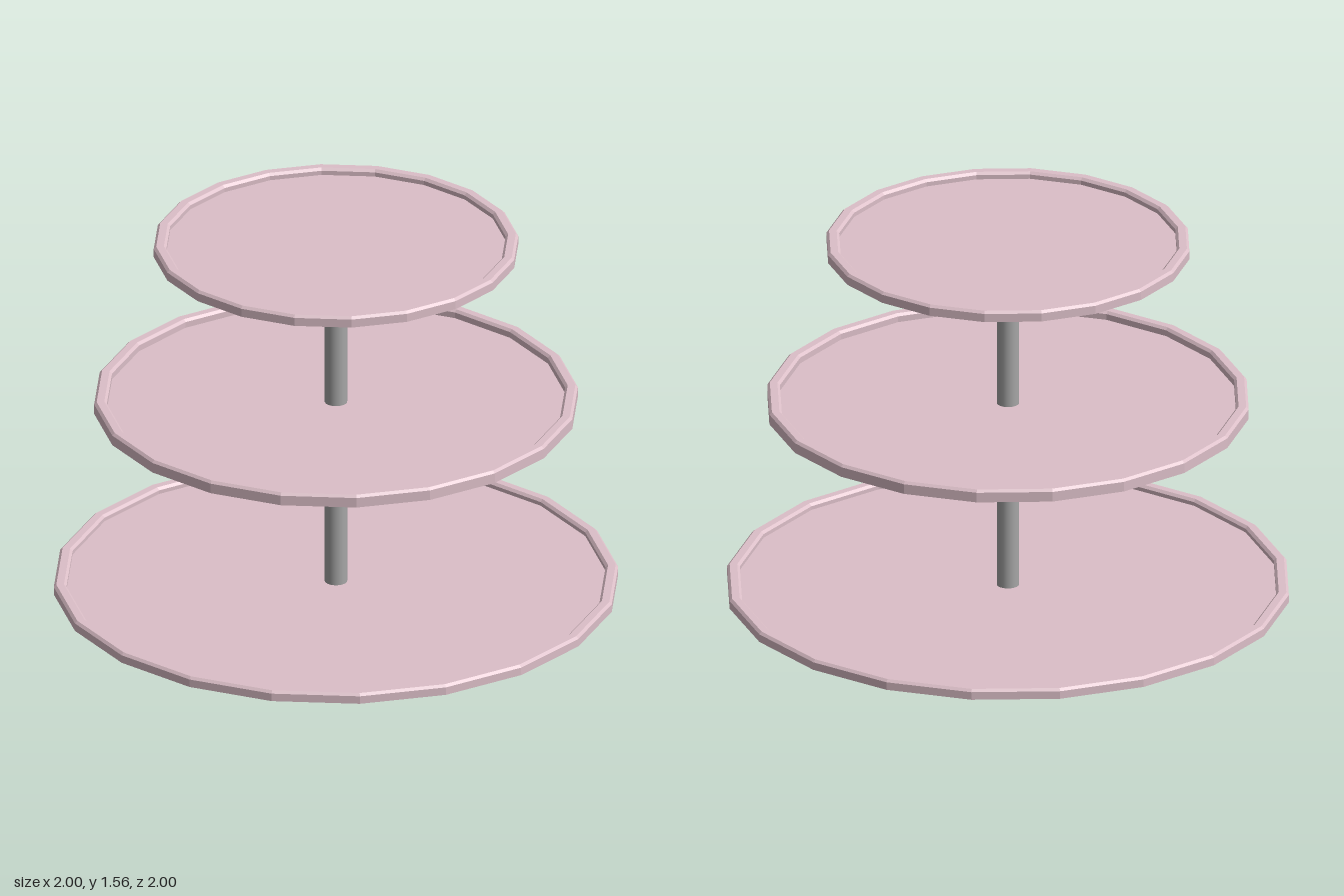
import * as THREE from 'three';

const SIDES = 20;

// Faceted solid of revolution from [radius, height] pairs, listed bottom to top
function facetedLathe(profile) {
  const points = profile.map(([r, y]) => new THREE.Vector2(r, y));
  const geometry = new THREE.LatheGeometry(points, SIDES).toNonIndexed();
  geometry.computeVertexNormals();
  return geometry;
}

// Shallow tray with a chamfered raised rim
function trayGeometry(radius, height) {
  const floor = 0.015, c = 0.009, rim = 0.045;
  return facetedLathe([
    [0, 0],
    [radius, 0],
    [radius, height - c],
    [radius - c, height],
    [radius - rim + c, height],
    [radius - rim, height - c],
    [radius - rim, floor],
    [0, floor],
  ]);
}

export function createModel() {
  const pink = new THREE.MeshStandardMaterial({ color: 0xdcbfc8 });
  pink.name = 'dusty pink';
  const grey = new THREE.MeshStandardMaterial({ color: 0xa6a6a6 });
  grey.name = 'metal grey';

  const group = new THREE.Group();
  group.name = 'tieredStand';
  const add = (name, geometry, material, y) => {
    const mesh = new THREE.Mesh(geometry, material);
    mesh.name = name;
    mesh.position.y = y;
    group.add(mesh);
  };

  // Weighted foot, tapering into the post
  add('foot', facetedLathe([
    [0, 0], [0.2, 0], [0.222, 0.02], [0.222, 0.085],
    [0.205, 0.11], [0.04, 0.222], [0, 0.222],
  ]), grey, 0);

  // Central post
  add('post', new THREE.CylinderGeometry(0.04, 0.04, 1.32, SIDES), grey, 0.87);

  // Three trays, largest at the bottom
  add('lowerTray', trayGeometry(1, 0.038), pink, 0.222);
  add('middleTray', trayGeometry(0.857, 0.046), pink, 0.92);
  add('upperTray', trayGeometry(0.646, 0.04), pink, 1.523);

  return group;
}
